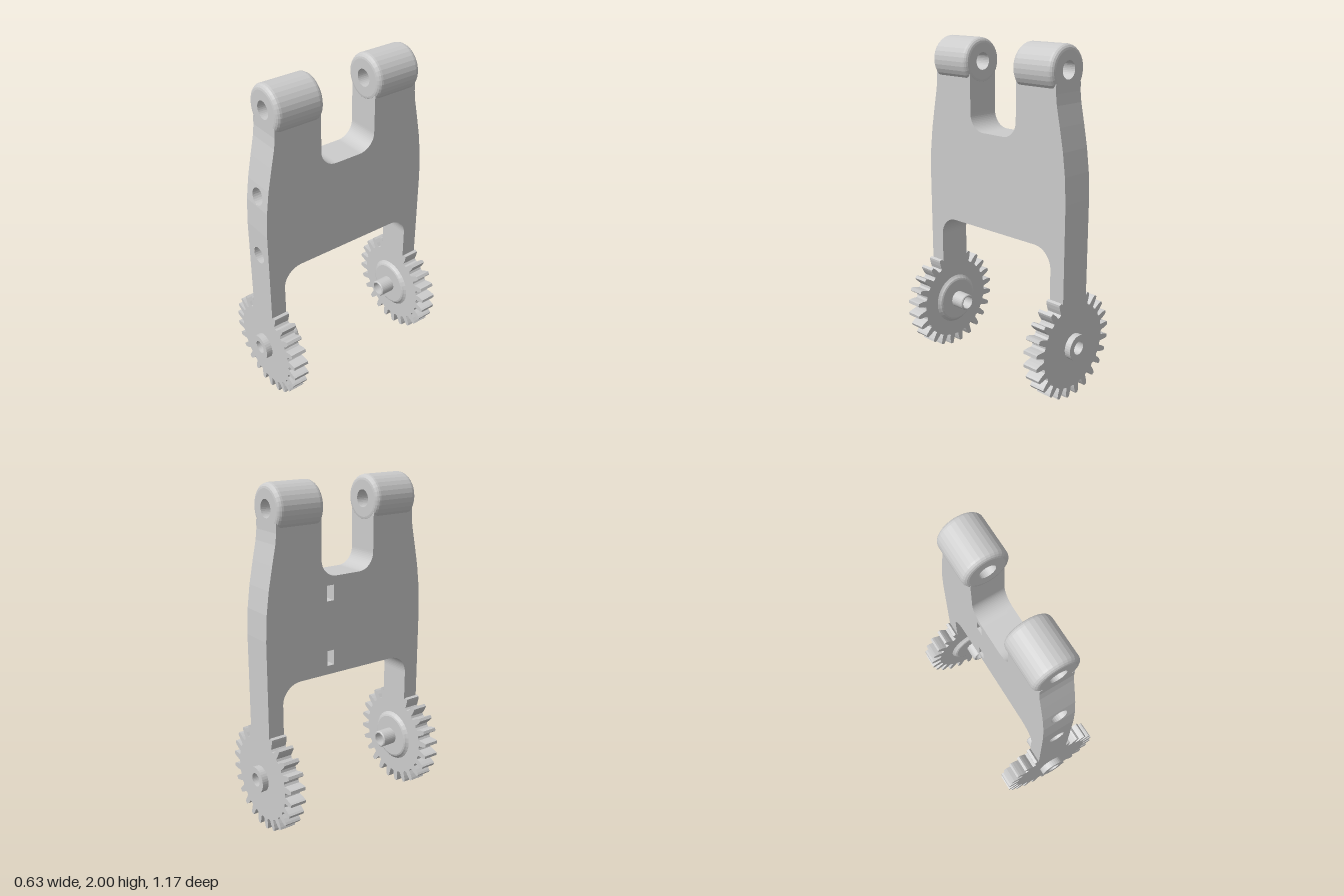
import * as THREE from 'three';

const grey = (side = THREE.FrontSide) =>
  new THREE.MeshStandardMaterial({ color: 0xcccccc, flatShading: true, side });

function add(parent, name, geometry, side) {
  const mesh = new THREE.Mesh(geometry, grey(side));
  mesh.name = name;
  parent.add(mesh);
  return mesh;
}

// Outer edge of the plate as [z, y], bottom to top
const EDGE = [[0.545, 0.45], [0.545, 1.17], [0.537, 1.32], [0.52, 1.45],
  [0.495, 1.58], [0.472, 1.69], [0.465, 1.75], [0.465, 1.8]];
const HOLES = [0.997, 1.38];   // heights of the screw holes
const HALF = 0.1;              // half thickness of the plate
const SLOT_Z = -0.12;
const GEAR_Y = 0.317, EYE_Y = 1.867;

function edgeZ(y) {
  for (let i = 1; i < EDGE.length; i++) {
    const [z0, y0] = EDGE[i - 1], [z1, y1] = EDGE[i];
    if (y <= y1 + 1e-6) return z0 + (z1 - z0) * (y - y0) / (y1 - y0);
  }
  return EDGE[EDGE.length - 1][0];
}

// Side outline of the plate: two legs, two arms, rounded cut-outs
function plateShape() {
  const s = new THREE.Shape();
  EDGE.forEach(([z, y], i) => (i ? s.lineTo(z, y) : s.moveTo(z, y)));
  s.lineTo(0.18, 1.8);
  s.absarc(0.08, 1.575, 0.1, 0, -Math.PI / 2, true);
  s.absarc(-0.08, 1.575, 0.1, -Math.PI / 2, -Math.PI, true);
  s.lineTo(-0.18, 1.8);
  [...EDGE].reverse().forEach(([z, y]) => s.lineTo(-z, y));
  s.lineTo(-0.448, 0.45);
  s.absarc(-0.328, 0.78, 0.12, Math.PI, Math.PI / 2, true);
  s.absarc(0.328, 0.78, 0.12, Math.PI / 2, 0, true);
  s.lineTo(0.448, 0.45);
  return s;
}

// One layer of the plate between two x positions, left open along its front edge
function plateLayer(x0, x1, slotted) {
  const shape = plateShape();
  if (slotted) {
    for (const y of HOLES) {
      const a = 0.024, b = 0.045;
      shape.holes.push(new THREE.Path([[-a, -b], [-a, b], [a, b], [a, -b]]
        .map(([u, v]) => new THREE.Vector2(SLOT_Z + u, y + v))));
    }
  }
  const g = new THREE.ExtrudeGeometry(shape, { depth: x1 - x0, bevelEnabled: false, curveSegments: 8 });
  g.rotateY(-Math.PI / 2).translate(x1, 0, 0);
  const flat = g.index ? g.toNonIndexed() : g;
  const p = flat.attributes.position, n = flat.attributes.normal, keep = [];
  for (let i = 0; i < p.count; i += 3) {
    const onEdge = [i, i + 1, i + 2].every(k => Math.abs(p.getZ(k) - edgeZ(p.getY(k))) < 1e-4);
    if (onEdge && Math.abs(n.getX(i)) < 0.5) continue;
    for (let k = i; k < i + 3; k++) keep.push(p.getX(k), p.getY(k), p.getZ(k));
  }
  const out = new THREE.BufferGeometry();
  out.setAttribute('position', new THREE.Float32BufferAttribute(keep, 3));
  out.computeVertexNormals();
  return out;
}

// Move points of a geometry onto the front edge where the test allows it
function ontoEdge(g, yOffset = 0, test = () => true) {
  const p = g.attributes.position;
  for (let i = 0; i < p.count; i++)
    if (test(p.getZ(i))) p.setZ(i, edgeZ(p.getY(i) + yOffset));
  g.computeVertexNormals();
  return g;
}

function buildPlate(root) {
  const plate = new THREE.Group();
  plate.name = 'framePlate';
  root.add(plate);
  add(plate, 'plateSlottedSide', plateLayer(-HALF, 0.06, true));
  add(plate, 'plateClosedSide', plateLayer(0.06, HALF, false));

  // Front wall, strip by strip, with the screw holes
  for (let i = 1; i < EDGE.length; i++) {
    const y0 = EDGE[i - 1][1], y1 = EDGE[i][1];
    const s = new THREE.Shape([[-HALF, y0], [HALF, y0], [HALF, y1], [-HALF, y1]]
      .map(([x, y]) => new THREE.Vector2(x, y)));
    for (const y of HOLES) {
      if (y > y0 && y < y1) s.holes.push(new THREE.Path().absarc(0, y, 0.05, 0, Math.PI * 2, true));
    }
    add(plate, 'frontWall', ontoEdge(new THREE.ShapeGeometry(s, 24)));
  }

  // Stepped bores that run from the front wall to the nut slots
  const stepZ = 0.25, tube = (r, z0, z1) =>
    new THREE.CylinderGeometry(r, r, z1 - z0, 24, 1, true)
      .rotateX(Math.PI / 2).translate(0, 0, (z0 + z1) / 2);
  for (const y of HOLES) {
    const wide = ontoEdge(tube(0.05, stepZ, 0.5), y, z => z > 0.4);
    add(plate, 'counterbore', wide, THREE.BackSide).position.y = y;
    add(plate, 'boreStep', new THREE.RingGeometry(0.027, 0.05, 24)).position.set(0, y, stepZ);
    add(plate, 'screwBore', tube(0.027, SLOT_Z + 0.024, stepZ), THREE.BackSide).position.y = y;
  }
}

// Closed ring turned about the z axis from [radius, z] points
function turned(points, segments) {
  const pts = [...points, points[0]].map(([r, z]) => new THREE.Vector2(r, z));
  return new THREE.LatheGeometry(pts, segments).rotateX(Math.PI / 2);
}

function eyeGeometry() {
  const R = 0.135, f = 0.03, z0 = 0.177, z1 = 0.465, pts = [[0.05, z0]];
  for (let i = 0; i <= 4; i++) {
    const a = i * Math.PI / 8;
    pts.push([R - f + f * Math.sin(a), z0 + f - f * Math.cos(a)]);
  }
  for (let i = 0; i <= 4; i++) {
    const a = i * Math.PI / 8;
    pts.push([R - f + f * Math.cos(a), z1 - f + f * Math.sin(a)]);
  }
  pts.push([0.05, z1]);
  return turned(pts, 32);
}

// Spur gear with 24 tapered teeth and an open centre
function gearGeometry() {
  const N = 24, s = new THREE.Shape();
  const tooth = [[-0.5, 0.25], [-0.29, 0.255], [-0.24, 0.28], [-0.17, 0.304], [-0.11, 0.316],
    [0.11, 0.316], [0.17, 0.304], [0.24, 0.28], [0.29, 0.255]];
  for (let i = 0; i < N; i++) {
    tooth.forEach(([t, r], k) => {
      const a = (i + 0.5 + t) * Math.PI * 2 / N;
      const x = r * Math.cos(a), y = r * Math.sin(a);
      if (i + k) s.lineTo(x, y); else s.moveTo(x, y);
    });
  }
  s.holes.push(new THREE.Path().absarc(0, 0, 0.045, 0, Math.PI * 2, true));
  return new THREE.ExtrudeGeometry(s, { depth: 0.097, bevelEnabled: false, curveSegments: 12 })
    .translate(0, 0, 0.448);
}

export function createModel() {
  const root = new THREE.Group();
  root.name = 'gearedFrame';
  buildPlate(root);

  const eye = eyeGeometry(), gear = gearGeometry();
  // Pin, flared flange and outer hub share one through hole
  const hub = turned([[0.04, 0.335], [0.047, 0.335], [0.052, 0.34], [0.052, 0.427], [0.13, 0.427],
    [0.14, 0.431], [0.147, 0.439], [0.16, 0.45], [0.077, 0.5], [0.077, 0.583], [0.04, 0.583]], 32);

  // The back end is the front end turned half way round
  for (const [end, turn] of [['front', 0], ['back', Math.PI]]) {
    const group = new THREE.Group();
    group.name = end + 'End';
    group.rotation.y = turn;
    add(group, 'pivotBarrel', eye).position.y = EYE_Y;
    add(group, 'gear', gear).position.y = GEAR_Y;
    add(group, 'hubAndPin', hub).position.y = GEAR_Y;
    root.add(group);
  }
  return root;
}
